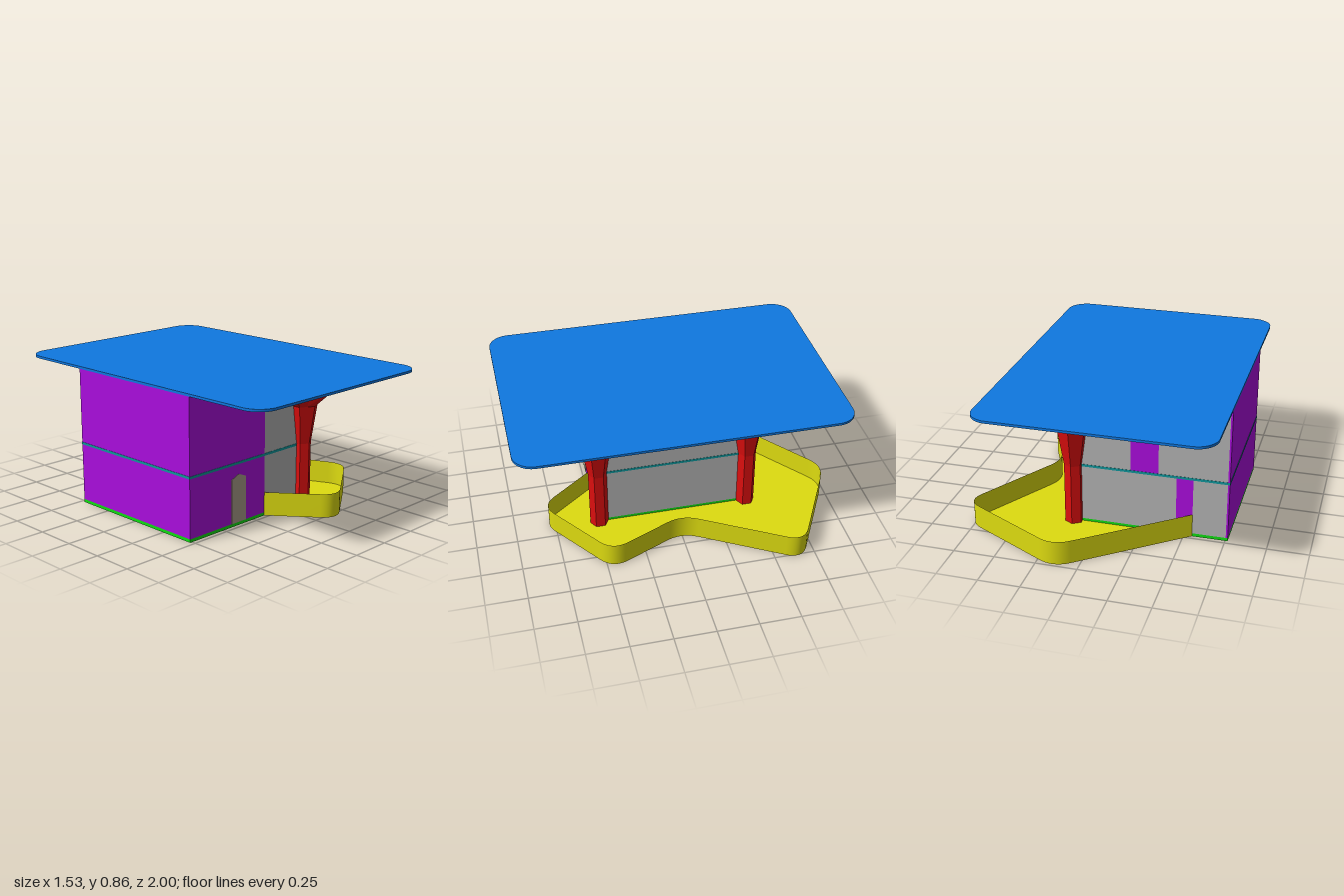
import * as THREE from 'three';

const mat = (color, extra = {}) => new THREE.MeshStandardMaterial({ color, ...extra });
const PURPLE = mat(0xaa0ddd), GREY = mat(0xb4b4b4), GREEN = mat(0x0fdd12);
const TEAL = mat(0x0f979c), BLUE = mat(0x0f78e0), BEIGE = mat(0xaca08c);
const RED = mat(0xdd0e0e, { flatShading: true, side: THREE.DoubleSide });
const YELLOW = mat(0xdedc10, { side: THREE.DoubleSide });

// Main levels and plan of the building
const X0 = -0.765, X1 = 0.18, Z = 0.475;
const BASE = 0.02, MID0 = 0.375, MID1 = 0.39, TOP = 0.847;

function add(group, name, geometry, material) {
  const mesh = new THREE.Mesh(geometry, material);
  mesh.name = name;
  group.add(mesh);
  return mesh;
}

// Box given by its minimum and maximum corners
function box(group, name, material, x0, x1, y0, y1, z0, z1) {
  const m = add(group, name, new THREE.BoxGeometry(x1 - x0, y1 - y0, z1 - z0), material);
  m.position.set((x0 + x1) / 2, (y0 + y1) / 2, (z0 + z1) / 2);
}

// Surface through rows of points, joined row to row
function loft(rows) {
  const n = rows[0].length, index = [];
  for (let i = 0; i < rows.length - 1; i++) {
    for (let j = 0; j < n - 1; j++) {
      const a = i * n + j, b = a + 1, c = b + n, d = a + n;
      index.push(a, b, c, a, c, d);
    }
  }
  const g = new THREE.BufferGeometry();
  g.setAttribute('position', new THREE.Float32BufferAttribute(rows.flat(2), 3));
  g.setIndex(index);
  g.computeVertexNormals();
  return g;
}

// Six-sided trunk that opens into a six-pointed star: [y, ridge radius, valley radius]
function columnGeometry() {
  const profile = [
    [0, 0.0577, 0.05], [0.39, 0.0577, 0.05], [0.63, 0.097, 0.084],
    [0.77, 0.257, 0.16], [TOP, 0.522, 0.25],
  ];
  return loft(profile.map(([y, ridge, valley]) =>
    Array.from({ length: 13 }, (_, k) => {
      const a = (k * Math.PI) / 6, r = k % 2 ? valley : ridge;
      return [r * Math.sin(a), y, r * Math.cos(a)];
    })));
}

// Basin outline in plan (x, z) with rounded corners
function basinOutline() {
  const corners = [
    [-0.155, Z], [0.12, 0.822], [0.615, 0.47], [0.405, 0],
    [0.795, -0.665], [0.14, -1.012], [-0.55, -Z],
  ].map(([x, z]) => new THREE.Vector2(x, z));
  const path = new THREE.Path();
  path.moveTo(corners[0].x, corners[0].y);
  for (let i = 1; i < corners.length - 1; i++) {
    const c = corners[i];
    const toward = (p) => p.clone().sub(c).setLength(0.11).add(c);
    const p = toward(corners[i - 1]), q = toward(corners[i + 1]);
    path.lineTo(p.x, p.y);
    path.quadraticCurveTo(c.x, c.y, q.x, q.y);
  }
  path.lineTo(corners.at(-1).x, corners.at(-1).y);
  return path.getPoints(10);
}

function roofGeometry() {
  const x0 = X0, x1 = 0.635, z = 1, r = 0.125, s = new THREE.Shape();
  s.absarc(x1 - r, z - r, r, 0, Math.PI / 2);
  s.absarc(x0 + r, z - r, r, Math.PI / 2, Math.PI);
  s.absarc(x0 + r, r - z, r, Math.PI, Math.PI * 1.5);
  s.absarc(x1 - r, r - z, r, Math.PI * 1.5, Math.PI * 2);
  return new THREE.ExtrudeGeometry(s, { depth: 0.015, bevelEnabled: false, curveSegments: 10 })
    .rotateX(-Math.PI / 2);
}

export function createModel() {
  const model = new THREE.Group();
  model.name = 'pavilion';

  // Ground slab, with a pad under each column
  box(model, 'groundSlab', GREEN, X0, X1, 0, BASE, -Z, Z);
  for (const s of [1, -1]) {
    add(model, 'columnPad', new THREE.CylinderGeometry(0.057, 0.057, BASE, 6), GREEN)
      .position.set(X1, BASE / 2, s * Z);
  }

  // Walls
  const t = 0.012;
  const walls = new THREE.Group();
  walls.name = 'walls';
  model.add(walls);
  box(walls, 'sideWall', PURPLE, X0, X0 + t, BASE, TOP, -Z, Z);
  box(walls, 'frontWall', PURPLE, X0 + t, -0.155, BASE, TOP, Z - t, Z);
  box(walls, 'frontGlazing', GREY, -0.155, X1, BASE, TOP, Z - t, Z);
  box(walls, 'sideGlazing', GREY, X1 - t, X1, BASE, TOP, t - Z, Z - t);

  // Back wall: glazing with one solid panel on each storey
  for (const [y0, y1, p0, p1] of [[BASE, MID0, -0.55, -0.45], [MID1, TOP, -0.34, -0.17]]) {
    box(walls, 'backGlazing', GREY, X0 + t, p0, y0, y1, -Z, t - Z);
    box(walls, 'backPanel', PURPLE, p0, p1, y0, y1, -Z, t - Z);
    box(walls, 'backGlazing', GREY, p1, X1, y0, y1, -Z, t - Z);
  }

  // Upper floor, showing as a thin band around the walls
  const e = 0.002;
  box(model, 'upperFloor', TEAL, X0 - e, X1 + e, MID0, MID1, -Z - e, Z + e);

  // Door with a pointed head
  const door = new THREE.Shape();
  door.moveTo(-0.435, BASE);
  door.lineTo(-0.315, BASE);
  door.lineTo(-0.315, 0.29);
  door.lineTo(-0.375, 0.315);
  door.lineTo(-0.435, 0.29);
  add(model, 'door', new THREE.ExtrudeGeometry(door, { depth: 0.008, bevelEnabled: false }), BEIGE)
    .position.z = Z - 0.005;

  // Star-headed columns
  const column = columnGeometry();
  for (const s of [1, -1]) add(model, 'column', column, RED).position.set(X1, 0, s * Z);

  // Basin: thin rim around a flat floor that wraps the building corner
  const rim = basinOutline();
  add(model, 'basinRim', loft([0, 0.147].map((y) => rim.map((p) => [p.x, y, p.y]))), YELLOW);
  const floor = [...rim, new THREE.Vector2(X1, -Z), new THREE.Vector2(X1, Z)];
  const floorShape = new THREE.Shape(floor.map((p) => new THREE.Vector2(p.x, -p.y)));
  add(model, 'basinFloor', new THREE.ShapeGeometry(floorShape).rotateX(-Math.PI / 2), YELLOW)
    .position.y = 0.004;

  // Roof slab
  add(model, 'roof', roofGeometry(), BLUE).position.y = TOP;
  return model;
}
